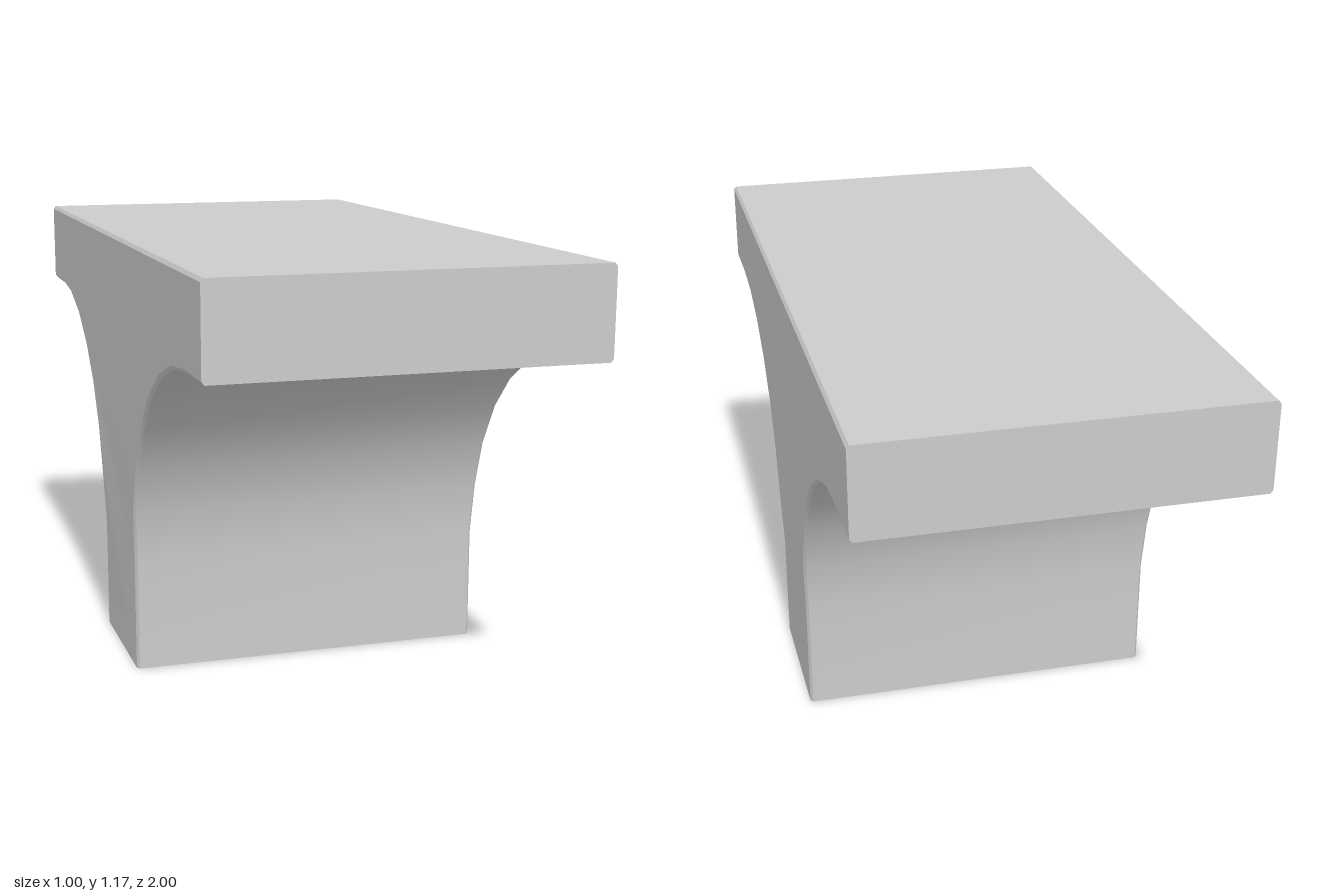
import * as THREE from 'three';
import { toCreasedNormals } from 'three/addons/utils/BufferGeometryUtils.js';

const STEM = 0.21, ARCH = 0.63, SPRING = 0.31, TOP = 1.175, SEGMENTS = 7;

// T-shaped outline in (z, y), counter-clockwise; inset trims the top and the arches only
function outline(inset) {
  const half = [[STEM - inset, 0]];
  for (let i = 0; i <= SEGMENTS; i++) {
    const a = (i / SEGMENTS) * Math.PI / 2, r = ARCH + inset;
    half.push([STEM + ARCH - r * Math.cos(a), SPRING + r * Math.sin(a)]);
  }
  half.push([1, SPRING + ARCH + inset], [1, TOP - inset]);
  const mirrored = half.map(([z, y]) => [-z, y]).reverse();
  return [...half, ...mirrored].map(([z, y]) => new THREE.Vector2(z, y));
}

// Stem is very slightly narrower than the slab
const ring = (x, inset) => outline(inset).map((p) => {
  const narrow = 0.005 * (1 - THREE.MathUtils.smoothstep(p.y, 0.3, 0.46));
  return [x - Math.sign(x) * narrow, p.y, p.x];
});

function pierGeometry() {
  const bevel = 0.009;
  const rings = [ring(-0.498, bevel), ring(-0.491, 0), ring(0.491, 0), ring(0.498, bevel)];
  const n = rings[0].length;
  const index = [];
  // Walls and chamfers between neighbouring sections
  for (let s = 0; s < rings.length - 1; s++) {
    for (let j = 0; j < n; j++) {
      const k = (j + 1) % n, a = s * n, b = a + n;
      index.push(a + j, b + j, b + k, a + j, b + k, a + k);
    }
  }
  // Flat side faces
  const last = (rings.length - 1) * n;
  for (const [a, b, c] of THREE.ShapeUtils.triangulateShape(outline(bevel), [])) {
    index.push(a, b, c, last + a, last + c, last + b);
  }
  const geometry = new THREE.BufferGeometry();
  geometry.setAttribute('position', new THREE.Float32BufferAttribute(rings.flat(2), 3));
  geometry.setIndex(index);
  return toCreasedNormals(geometry, Math.PI / 6);
}

export function createModel() {
  const group = new THREE.Group();
  group.name = 'archedPier';
  const pier = new THREE.Mesh(pierGeometry(), new THREE.MeshStandardMaterial({ color: 0xcccccc }));
  pier.name = 'pierWithArchedSlab';
  group.add(pier);
  return group;
}
